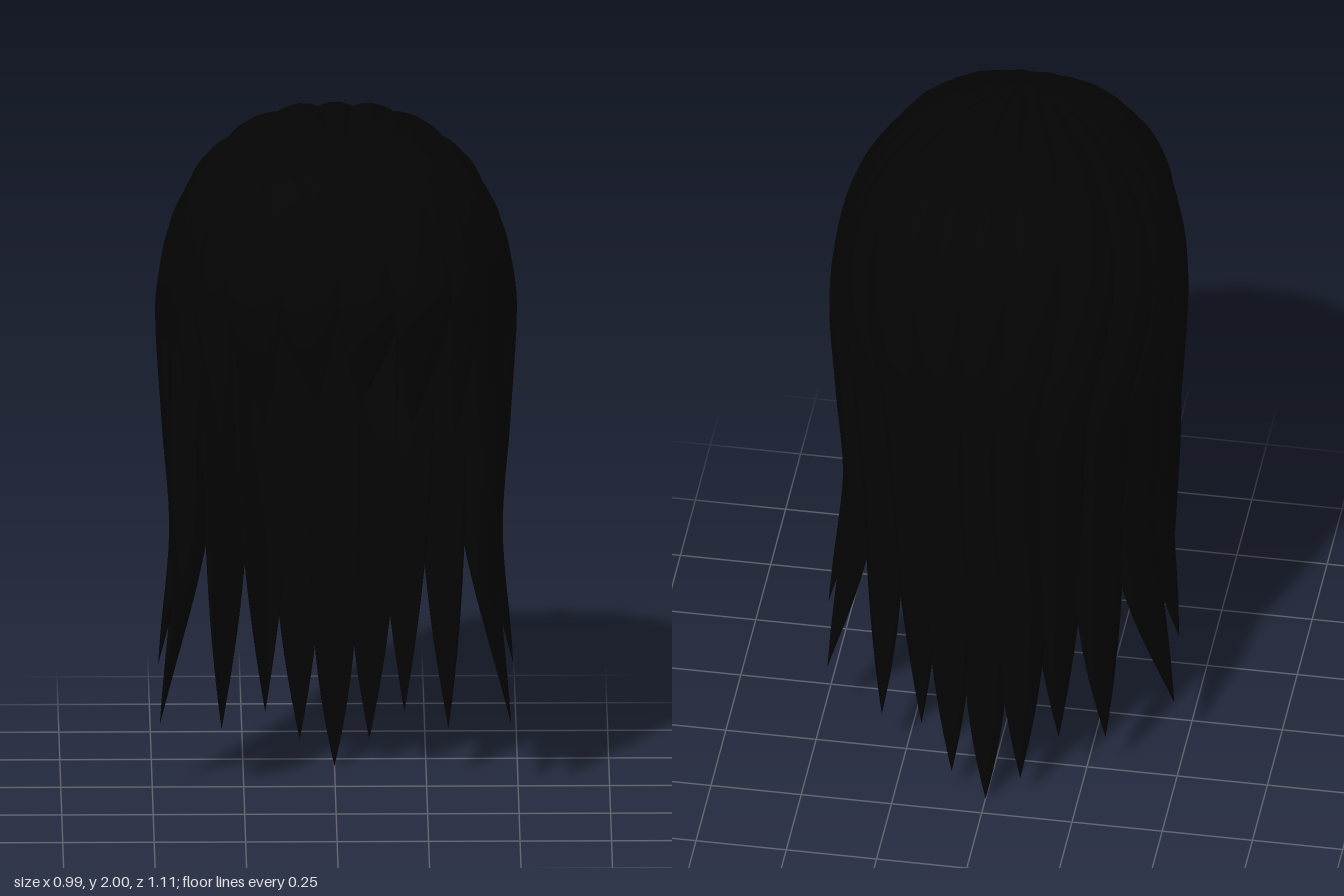
import * as THREE from 'three';

const CENTER_Y = 1.4, A = 0.46, H = 0.574, C = 0.527, P = 2.45;

// Push a point radially onto the rounded skull shape
function onSkull(x, y, z, grow = 1) {
  const dy = y - CENTER_Y;
  const f = (Math.abs(x / A) ** P + Math.abs(dy / H) ** P + Math.abs(z / C) ** P) ** (1 / P);
  return new THREE.Vector3(x / f * grow, CENTER_Y + dy / f, z / f * grow);
}

// Path from the parting, over the skull to mid, then through the hang points
function lockPath(root, mid, hang, grow) {
  const r = onSkull(root[0], 1.96, root[1]);
  const pts = [];
  for (let i = 0; i <= 5; i++) {
    const q = r.clone().lerp(new THREE.Vector3(...mid), i / 5);
    pts.push(onSkull(q.x, q.y, q.z, 1 + (grow - 1) * i / 5));
  }
  hang.forEach(p => pts.push(new THREE.Vector3(...p)));
  return new THREE.CatmullRomCurve3(pts, false, 'centripetal');
}

// Lens-shaped cross-section swept along the path, tapering to a point
function lockGeometry(path, width, taper, round, bulge) {
  const rows = 40, sides = 14, pos = [], idx = [];
  for (let i = 0; i <= rows; i++) {
    const t = i / rows;
    const p = path.getPointAt(t), T = path.getTangentAt(t);
    const out = new THREE.Vector3(p.x / (A * A), Math.max(0, p.y - CENTER_Y) / (H * H), p.z / (C * C));
    const S = T.clone().cross(out).normalize();
    const N = S.clone().cross(T).normalize();
    const s = Math.max(0, (t - taper) / (1 - taper));
    const k = Math.min(1, 0.5 + 2.5 * t) * Math.max(0.004, 1 - s ** round);
    // Fuller over the crown so neighbouring locks overlap
    const w = width * k * (1 + 0.32 * Math.exp(-(((t - 0.23) / 0.13) ** 2)));
    for (let j = 0; j < sides; j++) {
      const a = j / sides * Math.PI * 2, h = Math.sin(a);
      const v = p.clone()
        .addScaledVector(S, Math.cos(a) * w)
        .addScaledVector(N, (h > 0 ? h * bulge : h * 0.006) * k - 0.16 * w * Math.cos(a) ** 2);
      pos.push(v.x, v.y, v.z);
      if (i < rows) {
        const b = i * sides + (j + 1) % sides, c = i * sides + j;
        idx.push(c, c + sides, b, b, c + sides, b + sides);
      }
    }
  }
  const g = new THREE.BufferGeometry();
  g.setAttribute('position', new THREE.Float32BufferAttribute(pos, 3));
  g.setIndex(idx);
  g.computeVertexNormals();
  return g;
}

// Long locks: root [x,z], mid [x,z], hem [x,z], tip, half width, tip roundness, distance from skull
const LONG = [
  { root: [0, 0.17], mid: [0, -0.53], hem: [0, -0.455], tip: [0, 0, -0.435], w: 0.068, round: 2.5, grow: 1 },
  { root: [0.04, 0.17], mid: [0.11, -0.53], hem: [0.105, -0.45], tip: [0.095, 0.08, -0.43], w: 0.073, round: 2.1, grow: 1 },
  { root: [0.07, 0.17], mid: [0.22, -0.47], hem: [0.2, -0.41], tip: [0.19, 0.18, -0.36], w: 0.08, round: 1.7, grow: 0.99 },
  { root: [0.1, 0.18], mid: [0.34, -0.39], hem: [0.305, -0.34], tip: [0.31, 0.15, -0.3], w: 0.086, round: 1.9, grow: 0.97 },
  { root: [0.11, 0.19], mid: [0.42, -0.25], hem: [0.39, -0.23], tip: [0.48, 0.2, -0.18], w: 0.096, round: 1.6, grow: 0.97 },
  { root: [0.12, 0.2], mid: [0.46, -0.08], hem: [0.425, -0.08], tip: [0.485, 0.39, -0.13], w: 0.112, round: 1.7, grow: 1.005 },
  { root: [0.12, 0.21], mid: [0.45, 0.095], hem: [0.425, 0.09], tip: [0.44, 0.54, 0.05], w: 0.125, round: 1.8, grow: 0.93 },
];

// Fringe locks: root [x,z], mid [x,z], tip, half width, distance from skull
const FRINGE = [
  { root: [0.035, 0.15], mid: [0.085, 0.52], tip: [0.06, 1.33, 0.5], w: 0.115, grow: 1.05 },
  { root: [0.08, 0.16], mid: [0.23, 0.455], tip: [0.2, 1.25, 0.435], w: 0.11, grow: 1.03 },
  { root: [0.11, 0.18], mid: [0.35, 0.365], tip: [0.32, 1.21, 0.37], w: 0.095, grow: 0.99 },
  { root: [0.12, 0.19], mid: [0.42, 0.25], tip: [0.4, 1.09, 0.26], w: 0.085, grow: 0.95 },
];

export function createModel() {
  const model = new THREE.Group();
  model.name = 'hair';
  const material = new THREE.MeshStandardMaterial({ color: 0x040404, side: THREE.DoubleSide });
  const add = (name, path, w, taper, round, bulge) => {
    const mesh = new THREE.Mesh(lockGeometry(path, w, taper, round, bulge), material);
    mesh.name = name;
    model.add(mesh);
  };
  const sidesOf = l => (l.mid[0] === 0 ? [1] : [1, -1]);
  const label = s => (s > 0 ? 'Left' : 'Right');

  // Long locks swept back over the crown and hanging down
  LONG.forEach((l, i) => sidesOf(l).forEach(s => {
    const [tx, ty, tz] = l.tip;
    const m = onSkull(l.mid[0], CENTER_Y, l.mid[1], l.grow);
    const hang = [
      [s * (m.x + l.hem[0]) / 2, 1.1, (m.z + l.hem[1]) / 2],
      [s * l.hem[0], 0.8, l.hem[1]],
      [s * tx, ty, tz],
    ];
    const path = lockPath([s * l.root[0], l.root[1]], [s * l.mid[0], CENTER_Y, l.mid[1]], hang, l.grow);
    add(`longLock${label(s)}${i}`, path, l.w, 0.7, l.round, 0.032);
  }));

  // Fringe locks falling over the forehead and temples
  FRINGE.forEach((l, i) => sidesOf(l).forEach(s => {
    const path = lockPath([s * l.root[0], l.root[1]], [s * l.mid[0], 1.6, l.mid[1]],
      [[s * l.tip[0], l.tip[1], l.tip[2]]], l.grow);
    add(`fringeLock${label(s)}${i}`, path, l.w, 0.42, 1.75, 0.026);
  }));
  return model;
}
